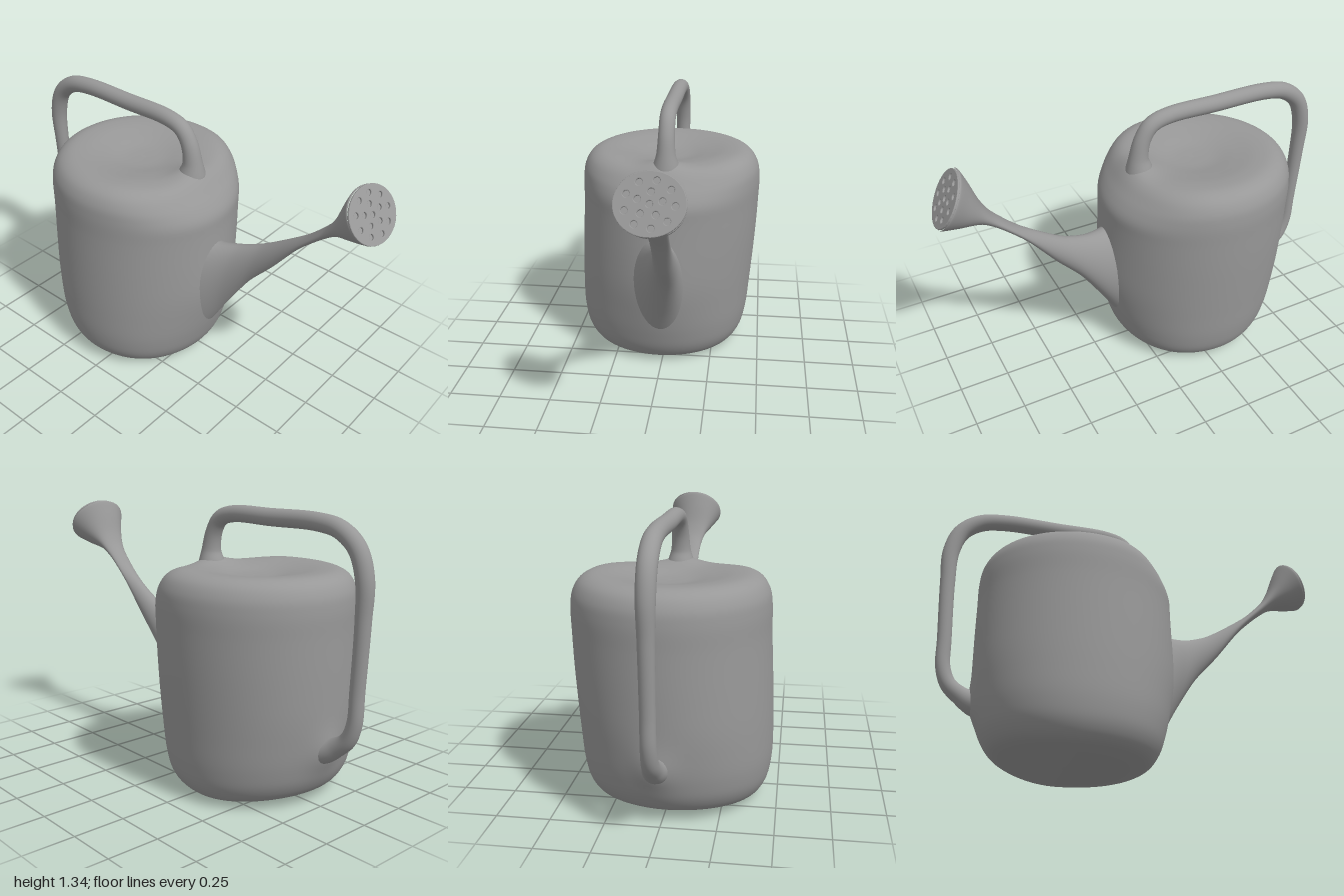
import * as THREE from 'three';

const V = (x, y, z) => new THREE.Vector3(x, y, z);
const smooth = THREE.MathUtils.smoothstep;

// Smooth skin over elliptical rings {c, ax, ay}; ax cross ay points along the path
function loft(rings, sides = 32) {
  const pos = [], index = [];
  rings.forEach(({ c, ax, ay }, i) => {
    for (let j = 0; j < sides; j++) {
      const t = (j / sides) * Math.PI * 2;
      pos.push(...c.clone().addScaledVector(ax, Math.cos(t)).addScaledVector(ay, Math.sin(t)).toArray());
      if (i < rings.length - 1) {
        const a = i * sides + j, b = i * sides + (j + 1) % sides;
        index.push(a, b, a + sides, b, b + sides, a + sides);
      }
    }
  });
  const g = new THREE.BufferGeometry();
  g.setAttribute('position', new THREE.Float32BufferAttribute(pos, 3));
  g.setIndex(index);
  g.computeVertexNormals();
  return g;
}

// Swellings where the spout and both handle ends grow out of the tank: centre, radii, push
const SWELLS = [
  [V(-0.01, 0.47, 0.15), V(0.18, 0.26, 0.2), V(0, 0, 0.02)],
  [V(0.0, 1.05, -0.01), V(0.1, 0.2, 0.09), V(0, 0.03, 0)],
  [V(0.012, 0.28, -0.78), V(0.09, 0.1, 0.15), V(0, 0, -0.025)],
];

// Round tank with soft shoulders, a dished top and a slightly skewed, hand-made shape
function bodyGeometry() {
  const segments = 96;
  const profile = new THREE.CatmullRomCurve3([
    [0, 0.002], [0.2, 0], [0.33, 0.005], [0.385, 0.028], [0.425, 0.085], [0.447, 0.18], [0.457, 0.35],
    [0.462, 0.6], [0.462, 0.8], [0.462, 0.92], [0.452, 0.985], [0.422, 1.035], [0.375, 1.06],
    [0.3, 1.062], [0.2, 1.045], [0.1, 1.025], [0, 1.02],
  ].map(([r, y]) => V(r, y, 0)), false, 'centripetal');
  const pts = profile.getPoints(100).map((p) => new THREE.Vector2(Math.max(0, p.x), p.y));
  pts[0].x = pts[pts.length - 1].x = 0;
  const g = new THREE.LatheGeometry(pts, segments);
  const p = g.attributes.position, v = V(), d = V();
  for (let i = 0; i < p.count; i++) {
    v.fromBufferAttribute(p, i);
    const low = 1 - smooth(v.y, 0, 0.5), high = smooth(v.y, 0.85, 1.06);
    const front = smooth(v.z, 0.1, 0.48), back = smooth(-v.z, 0, 0.48);
    v.z *= 1.043 - 0.13 * high * front - 0.08 * low * front - 0.055 * low * back;
    v.y += 0.042 * low * back - 0.03 * high * front;
    v.x += -0.022 + 0.032 * smooth(v.y, 0.1, 0.95);
    v.z -= 0.318;
    for (const [centre, radii, push] of SWELLS) {
      v.addScaledVector(push, Math.exp(-d.copy(v).sub(centre).divide(radii).lengthSq()));
    }
    p.setXYZ(i, v.x, v.y, v.z);
  }
  g.computeVertexNormals();
  // Join the normals across the lathe seam
  const n = g.attributes.normal, row = pts.length;
  for (let j = 0; j < row; j++) {
    const a = j, b = segments * row + j;
    const m = V().fromBufferAttribute(n, a).add(V().fromBufferAttribute(n, b)).normalize();
    n.setXYZ(a, m.x, m.y, m.z);
    n.setXYZ(b, m.x, m.y, m.z);
  }
  return g;
}

// Spout sections: upper z, y; lower z, y; centre x; half width; sideways turn
const SPOUT = [
  [0.06, 0.77, 0.05, 0.1, -0.02, 0.165, 0],
  [0.165, 0.735, 0.125, 0.2, -0.01, 0.128, 0],
  [0.28, 0.752, 0.21, 0.35, 0.022, 0.088, 0],
  [0.4, 0.8, 0.33, 0.54, 0.045, 0.06, 0],
  [0.52, 0.875, 0.46, 0.69, 0.053, 0.047, 0],
  [0.64, 0.96, 0.595, 0.86, 0.055, 0.044, 0],
  [0.74, 1.06, 0.715, 0.972, 0.055, 0.05, 0],
  [0.785, 1.135, 0.8, 1.03, 0.055, 0.071, 0.06],
  [0.82, 1.228, 0.91, 1.052, 0.055, 0.111, 0.12],
  [0.848, 1.294, 0.98, 1.07, 0.055, 0.142, 0.13],
  [0.86, 1.3, 0.992, 1.078, 0.055, 0.145, 0.13],
];

function spoutRings() {
  const curve = (f) => new THREE.CatmullRomCurve3(SPOUT.map(f), false, 'catmullrom', 0.4);
  const up = curve((s) => V(s[4], s[1], s[0]));
  const lo = curve((s) => V(s[4], s[3], s[2]));
  const wide = curve((s) => V(s[5], s[6], 0));
  return Array.from({ length: 61 }, (_, i) => {
    const t = i / 60, a = up.getPoint(t), b = lo.getPoint(t), w = wide.getPoint(t);
    return {
      c: a.clone().add(b).multiplyScalar(0.5),
      ax: V(w.x, 0, w.x * w.y),
      ay: a.sub(b).multiplyScalar(0.5),
    };
  });
}

// Handle path: z, y, radius; the ends flare into the tank
const HANDLE = [
  [-0.02, 0.99, 0.08], [-0.012, 1.05, 0.066], [-0.01, 1.11, 0.048], [-0.03, 1.2, 0.041], [-0.075, 1.265, 0.04],
  [-0.16, 1.293, 0.04], [-0.42, 1.295, 0.041], [-0.7, 1.294, 0.041], [-0.82, 1.27, 0.042],
  [-0.91, 1.2, 0.042], [-0.953, 1.08, 0.041], [-0.954, 0.9, 0.036], [-0.94, 0.6, 0.034],
  [-0.932, 0.45, 0.035], [-0.9, 0.368, 0.038], [-0.84, 0.318, 0.045], [-0.785, 0.29, 0.06], [-0.72, 0.28, 0.08],
];

function handleRings() {
  const path = new THREE.CatmullRomCurve3(HANDLE.map(([z, y]) => V(0.012, y, z)));
  const radius = new THREE.CatmullRomCurve3(HANDLE.map((h, i) => V(i, h[2], 0)), false, 'catmullrom');
  return Array.from({ length: 121 }, (_, i) => {
    const t = i / 120, r = radius.getPoint(t).y, ax = V(1, 0, 0);
    return { c: path.getPoint(t), ax: ax.clone().multiplyScalar(r), ay: path.getTangent(t).cross(ax).multiplyScalar(r) };
  });
}

// Sprinkler plate with one centre hole and two rings of holes
function rosePlateGeometry(rx, ry) {
  const plate = new THREE.Shape().absellipse(0, 0, rx, ry, 0, Math.PI * 2);
  const hole = (x, y) => plate.holes.push(new THREE.Path().absarc(x, y, 0.0165, 0, Math.PI * 2, true));
  hole(0, 0);
  [[5, 0.052, 0.3], [9, 0.101, 0]].forEach(([count, r, turn]) => {
    for (let i = 0; i < count; i++) {
      const a = turn + (i / count) * Math.PI * 2;
      hole(r * Math.cos(a), r * 0.93 * Math.sin(a));
    }
  });
  return new THREE.ExtrudeGeometry(plate, {
    depth: 0.004, curveSegments: 20, bevelThickness: 0.003, bevelSize: 0.003, bevelSegments: 2,
  });
}

export function createModel() {
  const model = new THREE.Group();
  model.name = 'wateringCan';
  const grey = new THREE.MeshStandardMaterial({ color: 0x989898 });
  grey.name = 'grey';
  const add = (name, geometry, parent = model) => {
    const mesh = new THREE.Mesh(geometry, grey);
    mesh.name = name;
    parent.add(mesh);
    return mesh;
  };

  add('tank', bodyGeometry());
  const rings = spoutRings();
  add('spout', loft(rings, 40));
  add('handle', loft(handleRings(), 24));

  // Sprinkler face, set square on the end of the spout
  const { c, ax, ay } = rings[rings.length - 1];
  const rose = new THREE.Group();
  rose.name = 'sprinklerRose';
  const x = ax.clone().normalize(), n = ax.clone().cross(ay).normalize(), y = n.clone().cross(x);
  rose.quaternion.setFromRotationMatrix(new THREE.Matrix4().makeBasis(x, y, n));
  rose.position.copy(c);
  model.add(rose);
  const rx = ax.length() - 0.003, ry = ay.length() - 0.003;
  add('sprinklerPlate', rosePlateGeometry(rx, ry), rose);
  add('sprinklerBacking', new THREE.CircleGeometry(1, 40).scale(rx, ry, 1), rose).position.z = -0.003;
  return model;
}
